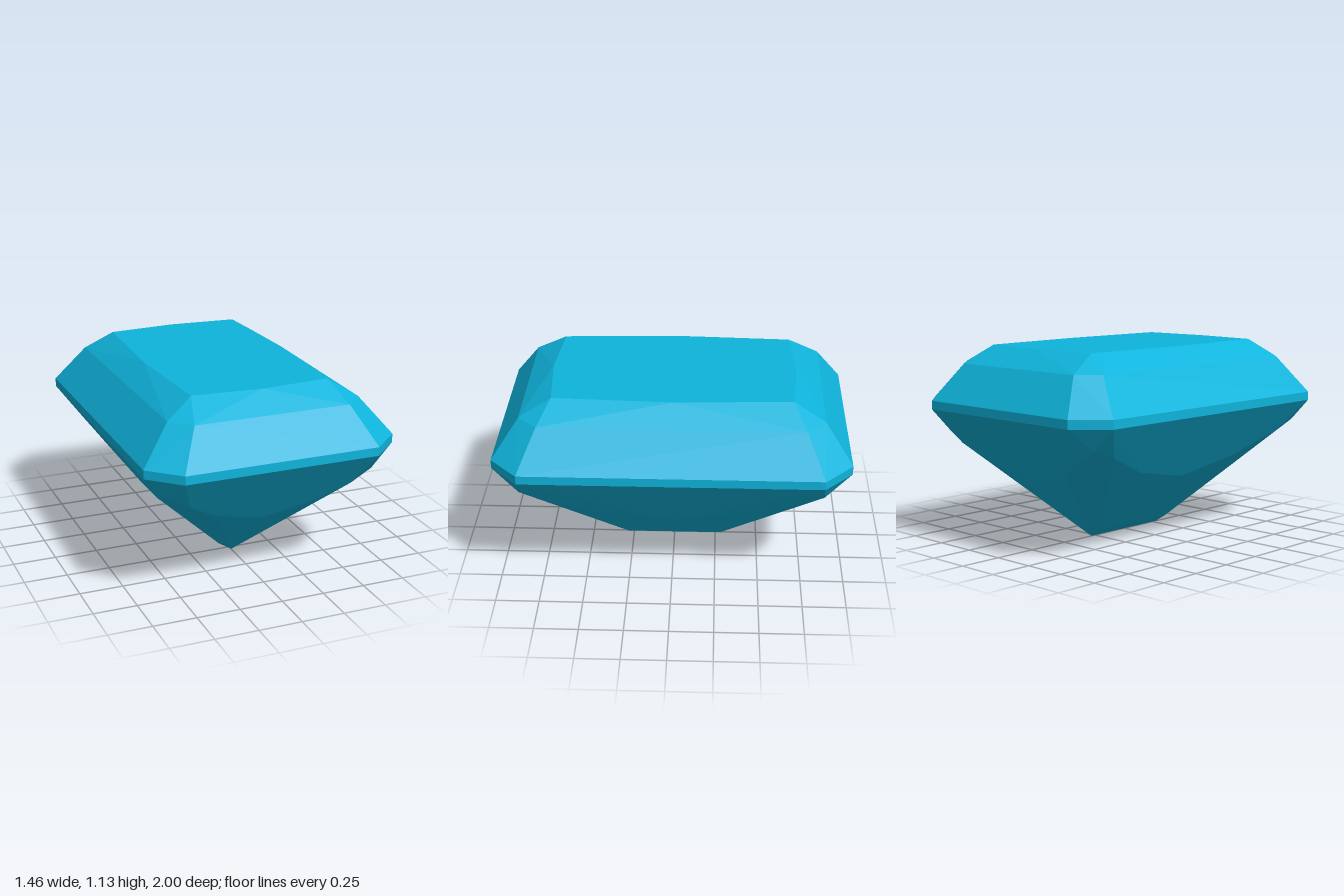
import * as THREE from 'three';
import { ConvexGeometry } from 'three/addons/geometries/ConvexGeometry.js';

// Corner points of one quarter of the cut stone; the others are mirrored.
const QUARTER = [
  // table (flat top)
  [0.43, 1.13, 0], [0.40, 1.13, 0.67], [0, 1.13, 0.70],
  // crown break
  [0.56, 1.03, 0.74], [0.45, 1.03, 0.85],
  // girdle band
  [0.73, 0.82, 0.84], [0.56, 0.82, 1],
  [0.73, 0.77, 0.84], [0.56, 0.77, 1],
  // pavilion corner facet
  [0.60, 0.64, 0.85],
  // lower edge of the end facet
  [0.475, 0.57, 0.851], [0.29, 0.46, 0.769], [0, 0.38, 0.71],
  // lower edge of the side facet
  [0.60, 0.59, 0.70], [0.507, 0.46, 0.40], [0.45, 0.38, 0],
  // keel
  [0.08, 0.05, 0.28], [0, 0, 0.28],
];

// Mirror the quarter in x and z, skipping copies of points on the symmetry planes.
function mirrored(points) {
  const out = [];
  for (const [x, y, z] of points) {
    for (const sx of x === 0 ? [1] : [1, -1]) {
      for (const sz of z === 0 ? [1] : [1, -1]) {
        out.push(new THREE.Vector3(x * sx, y, z * sz));
      }
    }
  }
  return out;
}

export function createModel() {
  const group = new THREE.Group();
  group.name = 'gemstone';

  // The facets are the faces of the convex hull.
  const material = new THREE.MeshStandardMaterial({ color: 0x0fb4dc, flatShading: true });
  const gem = new THREE.Mesh(new ConvexGeometry(mirrored(QUARTER)), material);
  gem.name = 'cutStone';
  group.add(gem);

  return group;
}
